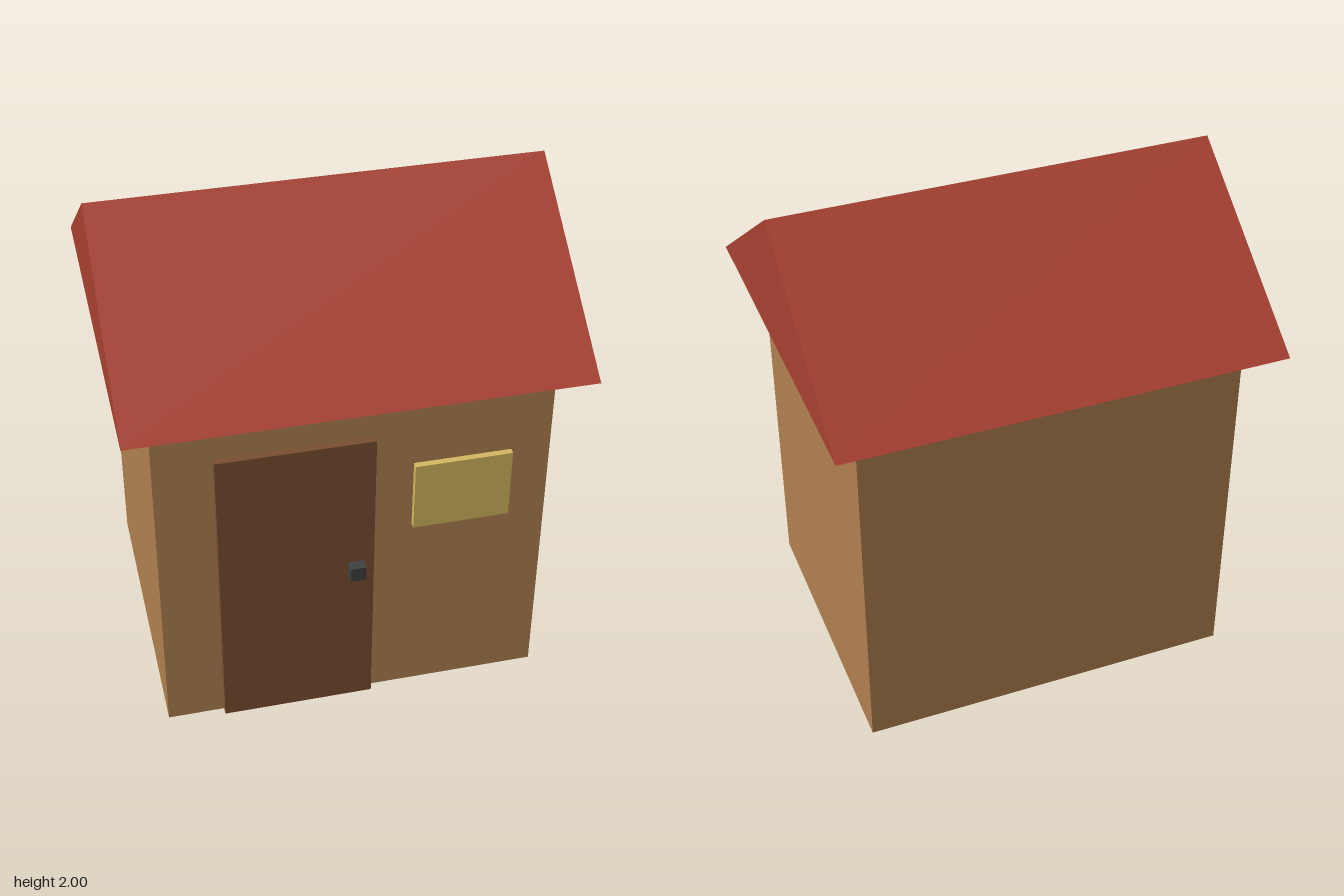
import * as THREE from 'three';

const HALF_X = 0.74, HALF_Z = 0.595, EAVES = 1.47, RIDGE = 2;

export function createModel() {
  const shed = new THREE.Group();
  shed.name = 'shed';

  const add = (name, geometry, color) => {
    const mesh = new THREE.Mesh(geometry, new THREE.MeshStandardMaterial({ color }));
    mesh.name = name;
    shed.add(mesh);
    return mesh;
  };

  // Box given by its lower and upper limits on each axis
  const addBox = (name, color, [x0, x1], [y0, y1], [z0, z1]) => {
    const box = add(name, new THREE.BoxGeometry(x1 - x0, y1 - y0, z1 - z0), color);
    box.position.set((x0 + x1) / 2, (y0 + y1) / 2, (z0 + z1) / 2);
  };

  // Walls
  addBox('walls', 0xb08050, [-HALF_X, HALF_X], [0, EAVES], [-HALF_Z, HALF_Z]);

  // Gabled roof: triangular prism with its ridge along x
  const gable = new THREE.Shape([
    new THREE.Vector2(-0.74, EAVES),
    new THREE.Vector2(0.74, EAVES),
    new THREE.Vector2(0, RIDGE),
  ]);
  const roof = new THREE.ExtrudeGeometry(gable, { depth: 1.7, bevelEnabled: false });
  roof.translate(0, 0, -0.85).rotateY(Math.PI / 2);
  add('roof', roof, 0xa84030);

  // Door, knob and window on the front wall
  addBox('door', 0x7a5030, [-0.52, 0.07], [0, 1.26], [HALF_Z - 0.01, 0.625]);
  addBox('doorKnob', 0x404040, [-0.03, 0.03], [0.64, 0.7], [0.61, 0.667]);
  addBox('window', 0xd4b860, [0.22, 0.59], [0.82, 1.11], [HALF_Z - 0.01, 0.62]);

  return shed;
}
